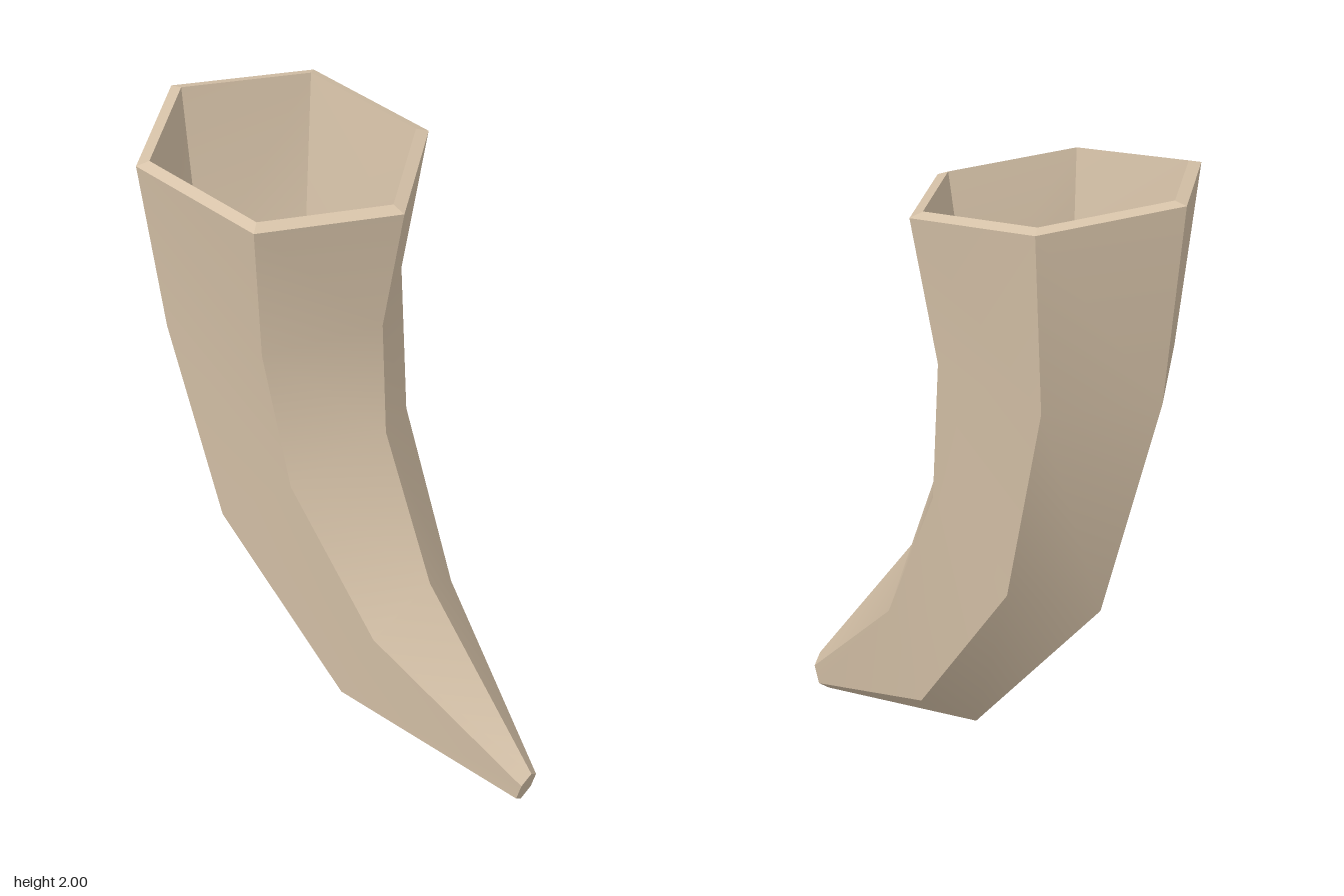
import * as THREE from 'three';

const SIDES = 6;

// Cross-sections from mouth to tip: left corner, right corner, half depth in z
const outerSections = [
  { l: [-0.70, 1.99], r: [0.175, 1.885], z: 0.38 },
  { l: [-0.64, 1.39], r: [0.10, 1.49], z: 0.313 },
  { l: [-0.44, 0.665], r: [0.115, 1.125], z: 0.268 },
  { l: [0.035, 0.11], r: [0.29, 0.65], z: 0.188 },
  { l: [0.66, 0.0], r: [0.695, 0.12], z: 0.037 },
];

// Hexagonal ring of points, scaled about its centre
function ring({ l, r, z }, scale = 1, lift = 0) {
  const cx = (l[0] + r[0]) / 2, cy = (l[1] + r[1]) / 2 + lift;
  const ux = (r[0] - l[0]) / 2 * scale, uy = (r[1] - l[1]) / 2 * scale;
  const h = z * scale / Math.sin(Math.PI / 3);
  return Array.from({ length: SIDES }, (_, k) => {
    const a = k / SIDES * Math.PI * 2;
    return [cx + ux * Math.cos(a), cy + uy * Math.cos(a), h * Math.sin(a)];
  });
}

// Skin over rings: smooth along the length, sharp between the sides
function skin(rings, inward = false) {
  const pos = [], index = [];
  for (let k = 0; k < SIDES; k++) {
    const base = pos.length / 3;
    for (const p of rings) pos.push(...p[(k + 1) % SIDES], ...p[k]);
    for (let i = 0; i < rings.length - 1; i++) {
      const tl = base + i * 2, tr = tl + 1, bl = tl + 2, br = tl + 3;
      if (inward) index.push(tl, br, bl, tl, tr, br);
      else index.push(tl, bl, br, tl, br, tr);
    }
  }
  const g = new THREE.BufferGeometry();
  g.setAttribute('position', new THREE.Float32BufferAttribute(pos, 3));
  g.setIndex(index);
  g.computeVertexNormals();
  return g;
}

export function createModel() {
  const group = new THREE.Group();
  group.name = 'horn';
  const hornTan = new THREE.MeshStandardMaterial({ color: 0xd6c2a8 });
  hornTan.name = 'hornTan';

  const add = (name, geometry) => {
    const mesh = new THREE.Mesh(geometry, hornTan);
    mesh.name = name;
    group.add(mesh);
  };

  const outer = outerSections.map((s) => ring(s));
  const innerScale = [0.91, 0.9, 0.88, 0.84, 0.4];
  const inner = outerSections.map((s, i) => ring(s, innerScale[i], i === 0 ? 0.012 : 0));
  const tip = outerSections[outerSections.length - 1];

  add('outerWall', skin(outer));
  add('innerWall', skin(inner, true));
  // Rim round the open mouth
  add('rim', skin([inner[0], outer[0]]));
  // Blunt end closing the tip
  add('tipCap', skin([outer[4], ring(tip, 0)]));
  add('innerTipCap', skin([inner[4], ring(tip, 0)], true));

  return group;
}
